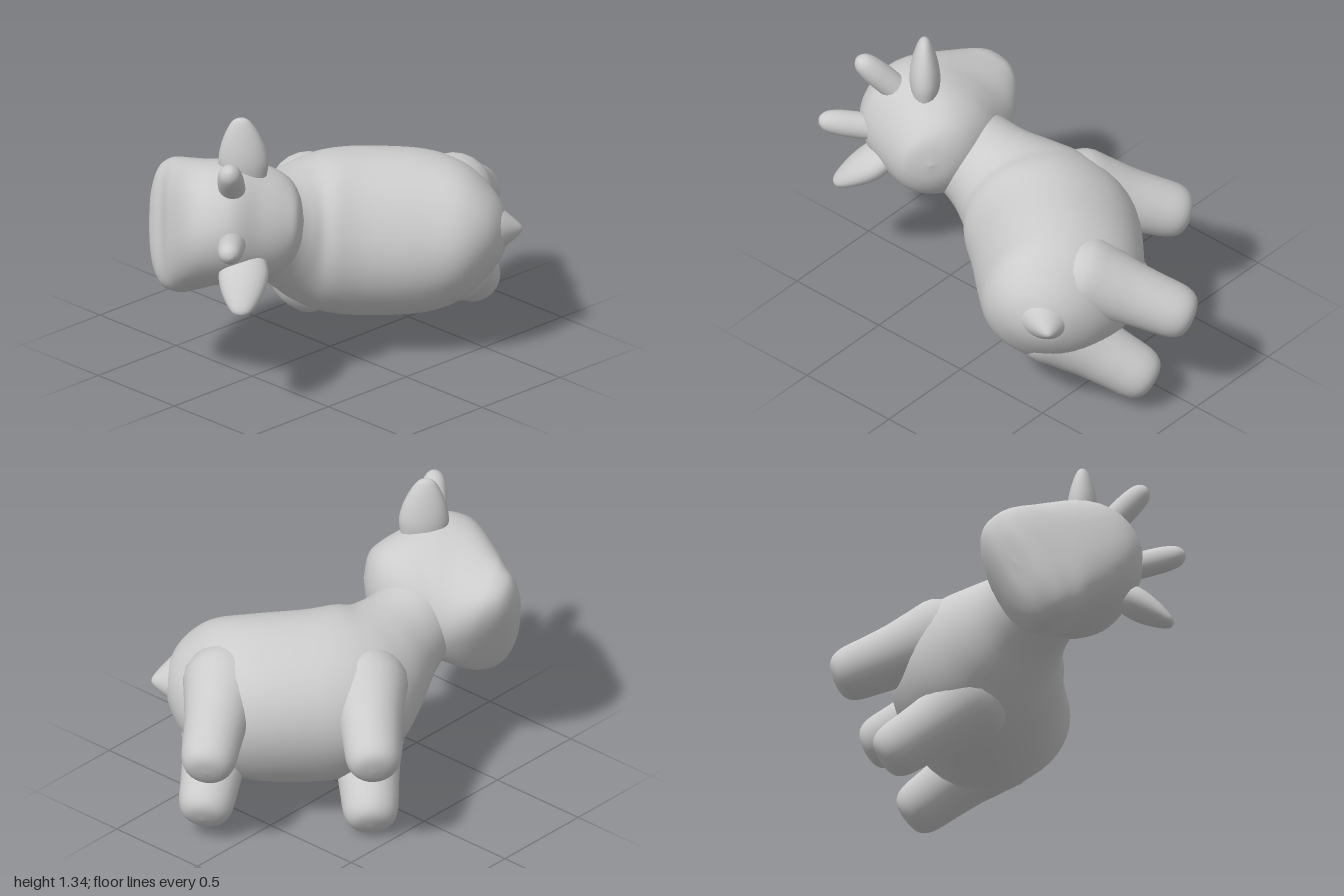
import * as THREE from 'three';

const material = new THREE.MeshStandardMaterial({ color: 0xcccccc });

function addMesh(parent, name, geometry) {
  const mesh = new THREE.Mesh(geometry, material);
  mesh.name = name;
  parent.add(mesh);
}

// Smooth skin through rings [z, y, tilt, halfWidth, halfHeight, squareness]
function loft(rings, steps, sides) {
  const path = new THREE.CatmullRomCurve3(rings.map(r => new THREE.Vector3(r[0], r[1], r[2])), false, 'catmullrom', 0.5);
  const size = new THREE.CatmullRomCurve3(rings.map(r => new THREE.Vector3(r[3], r[4], r[5])), false, 'catmullrom', 0.5);
  const positions = [], index = [];
  const bend = (v, n) => Math.sign(v) * Math.pow(Math.abs(v), 2 / n);
  for (let i = 0; i <= steps; i++) {
    const p = path.getPoint(i / steps), s = size.getPoint(i / steps);
    for (let j = 0; j < sides; j++) {
      const t = (j / sides) * Math.PI * 2;
      const w = Math.max(0, s.x) * bend(Math.cos(t), s.z);
      const h = Math.max(0, s.y) * bend(Math.sin(t), s.z);
      positions.push(w, p.y + h * Math.cos(p.z), p.x - h * Math.sin(p.z));
      if (i < steps) {
        const a = i * sides + j, b = i * sides + (j + 1) % sides;
        index.push(a, b, a + sides, b, b + sides, a + sides);
      }
    }
  }
  const geometry = new THREE.BufferGeometry();
  geometry.setAttribute('position', new THREE.Float32BufferAttribute(positions, 3));
  geometry.setIndex(index);
  geometry.computeVertexNormals();
  return geometry;
}

// Rounded limb from one point to another; profile is [radius, fraction of length]
function limb(parent, name, from, to, profile, flat = 1) {
  const a = new THREE.Vector3(...from), b = new THREE.Vector3(...to);
  const length = a.distanceTo(b);
  const curve = new THREE.SplineCurve(profile.map(([r, f]) => new THREE.Vector2(r, f * length)));
  const points = curve.getPoints(24);
  points.forEach(p => { p.x = Math.max(0, p.x); });
  const geometry = new THREE.LatheGeometry(points, 24);
  const y = b.clone().sub(a).normalize();
  const x = new THREE.Vector3().crossVectors(y, new THREE.Vector3(0, 0, 1)).normalize();
  const z = new THREE.Vector3().crossVectors(x, y);
  geometry.scale(flat, 1, 1);
  geometry.applyMatrix4(new THREE.Matrix4().makeBasis(x, y, z).setPosition(a));
  addMesh(parent, name, geometry);
}

export function createModel() {
  const group = new THREE.Group();
  group.name = 'calf';
  const calf = new THREE.Group();
  calf.name = 'posedCalf';
  group.add(calf);

  // Barrel body, tapered at the rump and rising into the neck
  addMesh(calf, 'body', loft([
    [-0.835, 0.20, 0, 0, 0, 2],
    [-0.815, 0.20, 0, 0.10, 0.11, 2],
    [-0.75, 0.19, 0, 0.20, 0.23, 2],
    [-0.63, 0.165, 0, 0.31, 0.325, 2.1],
    [-0.45, 0.135, 0, 0.375, 0.37, 2.15],
    [-0.20, 0.145, 0, 0.39, 0.39, 2.15],
    [-0.02, 0.18, 0.15, 0.38, 0.395, 2.1],
    [0.11, 0.25, 0.35, 0.34, 0.355, 2],
    [0.19, 0.365, 0.55, 0.285, 0.29, 2],
    [0.25, 0.48, 0.7, 0.24, 0.235, 2],
    [0.33, 0.60, 0.75, 0.215, 0.21, 2],
  ], 60, 40));

  // Round skull, stepping down at the brow to a broad square muzzle
  addMesh(calf, 'head', loft([
    [0.07, 0.79, 0, 0, 0, 2],
    [0.09, 0.79, 0, 0.12, 0.11, 2],
    [0.15, 0.77, 0, 0.21, 0.185, 2],
    [0.26, 0.76, 0, 0.265, 0.265, 2.1],
    [0.38, 0.775, -0.05, 0.285, 0.335, 2.15],
    [0.50, 0.74, -0.2, 0.29, 0.335, 2.3],
    [0.605, 0.64, -0.33, 0.305, 0.25, 2.5],
    [0.67, 0.592, -0.33, 0.31, 0.182, 2.7],
    [0.73, 0.57, -0.33, 0.275, 0.127, 2.7],
    [0.77, 0.56, -0.33, 0.17, 0.07, 2.6],
    [0.78, 0.555, -0.33, 0, 0, 2.6],
  ], 60, 40));

  const legProfile = [[0, 0], [0.065, 0.012], [0.105, 0.05], [0.127, 0.13], [0.136, 0.28],
    [0.148, 0.46], [0.17, 0.64], [0.185, 0.82], [0.12, 1]];
  const hornProfile = [[0.062, 0], [0.062, 0.35], [0.059, 0.65], [0.047, 0.87], [0.022, 0.98], [0, 1]];
  const earProfile = [[0.10, 0], [0.115, 0.25], [0.105, 0.5], [0.077, 0.75], [0.045, 0.93], [0.02, 0.99], [0, 1]];

  // Legs lean slightly to the right side
  for (const [side, s] of [['left', 1], ['right', -1]]) {
    limb(calf, side + 'FrontLeg', [s * 0.235 - 0.012, -0.42, 0.125], [s * 0.165, 0.25, 0.08], legProfile);
    limb(calf, side + 'HindLeg', [s * 0.20 - 0.025, -0.435, -0.65], [s * 0.145 - 0.015, 0.25, -0.55], legProfile);
    limb(calf, side + 'Horn', [s * 0.115, 1.0, 0.385], [s * 0.195, 1.262, 0.385], hornProfile);
    limb(calf, side + 'Ear', [s * 0.19, 0.91, 0.335], [s * 0.455, 1.05, 0.345], earProfile, 0.62);
  }

  // Short stub of a tail
  limb(calf, 'tail', [0, 0.22, -0.75], [0, 0.205, -0.90],
    [[0.15, 0], [0.105, 0.4], [0.055, 0.75], [0.02, 0.95], [0, 1]], 0.85);

  // Tip the whole animal onto its left side, nose down
  const up = new THREE.Vector3(0.587, 0.454, 0.662).normalize();
  const left = new THREE.Vector3(0.334, -0.885, 0.326);
  const forward = new THREE.Vector3().crossVectors(left, up).normalize();
  left.crossVectors(up, forward);
  calf.quaternion.setFromRotationMatrix(new THREE.Matrix4().makeBasis(left, up, forward));

  // Rest on the ground, centred
  group.updateMatrixWorld(true);
  const box = new THREE.Box3().setFromObject(group, true);
  const centre = box.getCenter(new THREE.Vector3());
  calf.position.set(-centre.x, -box.min.y, -centre.z);
  return group;
}
